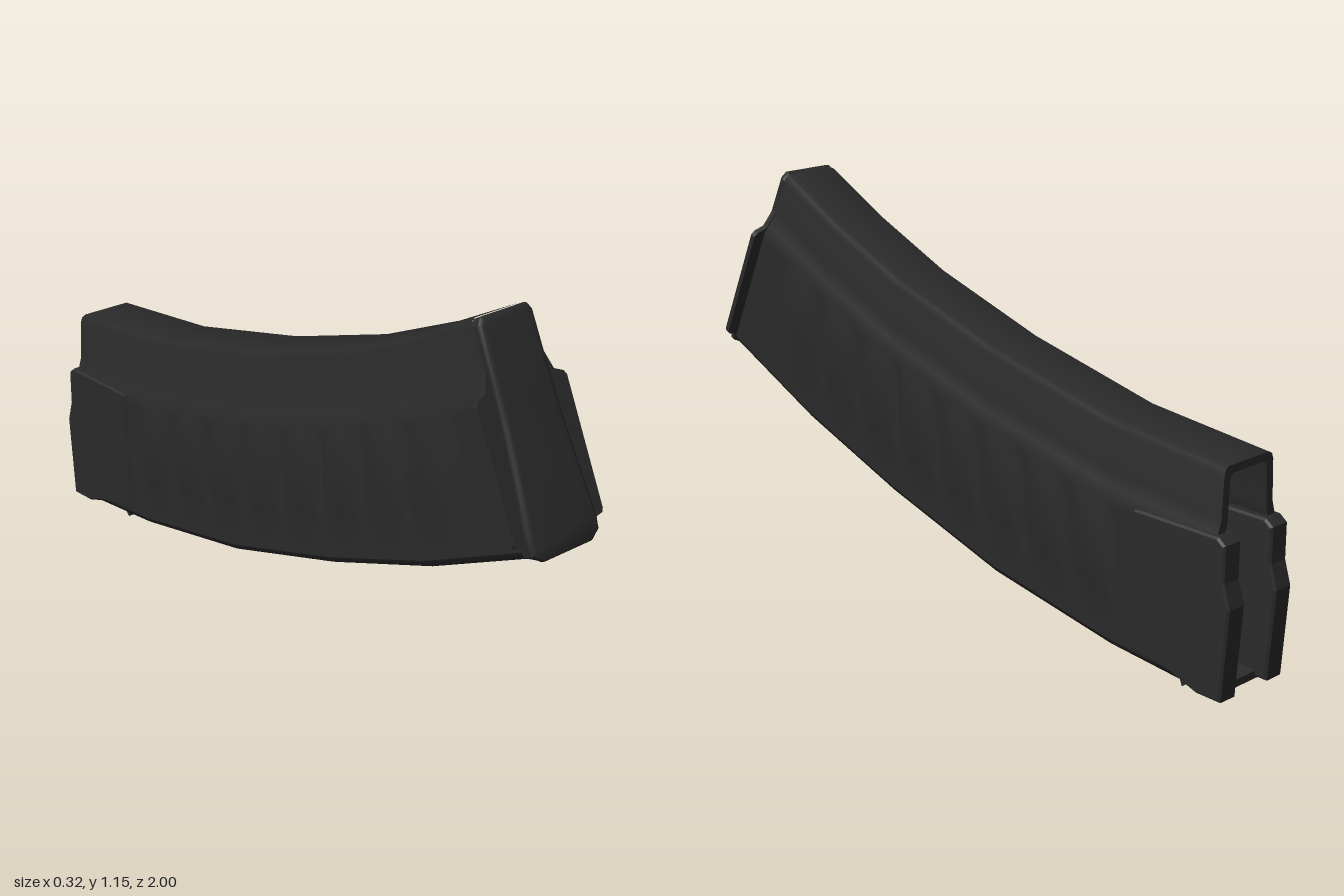
import * as THREE from 'three';
import { toCreasedNormals } from 'three/addons/utils/BufferGeometryUtils.js';

// Side outline as [z, y], running from the closed front end to the open mouth
const TOP = [[0.725, 1.14], [0.52, 1.03], [0.25, 0.91], [-0.12, 0.79], [-0.55, 0.69], [-0.945, 0.65]];
const BOTTOM = [[0.975, 0.59], [0.62, 0.42], [0.25, 0.28], [-0.17, 0.15], [-0.6, 0.07], [-0.945, 0.037]];

// Half cross-section as [half width, height fraction, rib influence]
const SECTION = [
  [0.092, 0, 0], [0.11, 0.012, 0], [0.122, 0.04, 0], [0.122, 0.24, 0], [0.122, 0.28, 1],
  [0.122, 0.6, 1], [0.122, 0.64, 0], [0.122, 0.68, 0], [0.112, 0.72, 0], [0.101, 0.78, 0],
  [0.096, 0.965, 0], [0.09, 0.99, 0], [0.078, 1, 0],
];

function along(points, t) {
  const f = t * (points.length - 1);
  const i = Math.min(Math.floor(f), points.length - 2);
  const k = f - i;
  return [0, 1].map((n) => points[i][n] * (1 - k) + points[i + 1][n] * k);
}

// Scalloped bulge between narrow notches
function ribHeight(z) {
  if (z > 0.72 || z < -0.62) return 0;
  const s = Math.abs(Math.sin((Math.PI * (z + 0.62)) / 0.1675));
  return -0.006 + 0.014 * Math.sqrt(s);
}

function ring(t, inner) {
  const [tz, ty] = along(TOP, t);
  const [bz, by] = along(BOTTOM, t);
  const place = ([w, v, r], side) => {
    const h = inner ? 0.035 + 0.93 * v : v;
    const z = bz + (tz - bz) * h;
    const x = inner ? w * 0.76 : w + r * ribHeight(z);
    return [side * x, by + (ty - by) * h, z];
  };
  return [
    ...SECTION.map((p) => place(p, 1)),
    ...[...SECTION].reverse().map((p) => place(p, -1)),
  ];
}

// Outer skin to the mouth, then the cavity wall back to the front
function shellGeometry() {
  const rings = [];
  for (let i = 0; i <= 120; i++) rings.push(ring(i / 120, false));
  for (let i = 30; i >= 0; i--) rings.push(ring(i / 30, true));
  const n = rings[0].length;
  const index = [];
  for (let i = 0; i < rings.length - 1; i++) {
    for (let j = 0; j < n; j++) {
      const k = (j + 1) % n;
      const a = i * n + j, b = i * n + k, c = a + n, d = b + n;
      index.push(a, c, b, b, c, d);
    }
  }
  const geo = new THREE.BufferGeometry();
  geo.setAttribute('position', new THREE.Float32BufferAttribute(rings.flat(2), 3));
  geo.setIndex(index);
  return toCreasedNormals(geo, 0.6);
}

const shapeOf = (pts) => new THREE.Shape(pts.map(([x, y]) => new THREE.Vector2(x, y)));

// Mirrors a right-hand outline about the centre line
const symmetric = (pts) => shapeOf([...pts, ...[...pts].reverse().map(([x, y]) => [-x, y])]);

// Plate drawn in the z, y plane and filling x0..x1
function sidePlate(pts, x0, x1, bevel = 0) {
  const geo = new THREE.ExtrudeGeometry(shapeOf(pts), {
    depth: x1 - x0 - 2 * bevel, bevelEnabled: bevel > 0, bevelSize: bevel,
    bevelThickness: bevel, bevelOffset: -bevel, bevelSegments: 1,
  });
  geo.rotateY(-Math.PI / 2);
  geo.translate(x1 - bevel, 0, 0);
  return geo;
}

export function createModel() {
  const group = new THREE.Group();
  const polymer = new THREE.MeshStandardMaterial({ color: 0x2a2a2a });
  polymer.name = 'matte black';
  const add = (geo, name, parent = group) => {
    const mesh = new THREE.Mesh(geo, polymer);
    mesh.name = name;
    parent.add(mesh);
    return mesh;
  };

  // Curved hollow body with ribbed sides
  add(shellGeometry(), 'curvedBody');

  // Tilted plate closing the front end
  const endCap = new THREE.Group();
  endCap.name = 'endCap';
  endCap.position.set(0, 0.6, 1);
  endCap.rotation.x = -0.427;
  group.add(endCap);

  // Thin flange with side wings
  const flange = new THREE.ExtrudeGeometry(symmetric([
    [0.09, -0.005], [0.125, 0.012], [0.13, 0.038], [0.152, 0.042], [0.158, 0.052],
    [0.158, 0.4], [0.15, 0.412], [0.12, 0.425], [0.1, 0.48], [0.096, 0.585], [0.08, 0.602],
  ]), { depth: 0.016, bevelEnabled: false });
  flange.translate(0, 0, -0.032);
  add(flange, 'endFlange', endCap);

  // Raised centre that flares toward the bottom
  const ridge = new THREE.ExtrudeGeometry(symmetric([
    [0.085, -0.012], [0.118, 0.01], [0.122, 0.06], [0.11, 0.18], [0.1, 0.32],
    [0.095, 0.45], [0.093, 0.585], [0.08, 0.604],
  ]), {
    depth: 0.008, bevelEnabled: true, bevelThickness: 0.012, bevelSize: 0.016,
    bevelOffset: -0.016, bevelSegments: 3,
  });
  ridge.translate(0, 0, -0.02);
  add(toCreasedNormals(ridge, 0.7), 'endRidge', endCap);

  // Reinforced cheeks on both sides of the mouth
  const cheek = [
    [-0.67, 0.095], [-0.68, 0.48], [-0.955, 0.478], [-0.978, 0.46], [-0.978, 0.36],
    [-0.998, 0.295], [-0.98, 0.04], [-0.9, 0.042], [-0.82, 0.07],
  ];
  add(sidePlate(cheek, 0.06, 0.127, 0.006), 'leftMouthCheek');
  add(sidePlate(cheek, -0.127, -0.06, 0.006), 'rightMouthCheek');

  // Small catch under the mouth
  add(sidePlate([[-0.77, 0.06], [-0.795, 0], [-0.835, 0.035], [-0.85, 0.06]], -0.05, 0.05), 'catchLug');

  return group;
}
